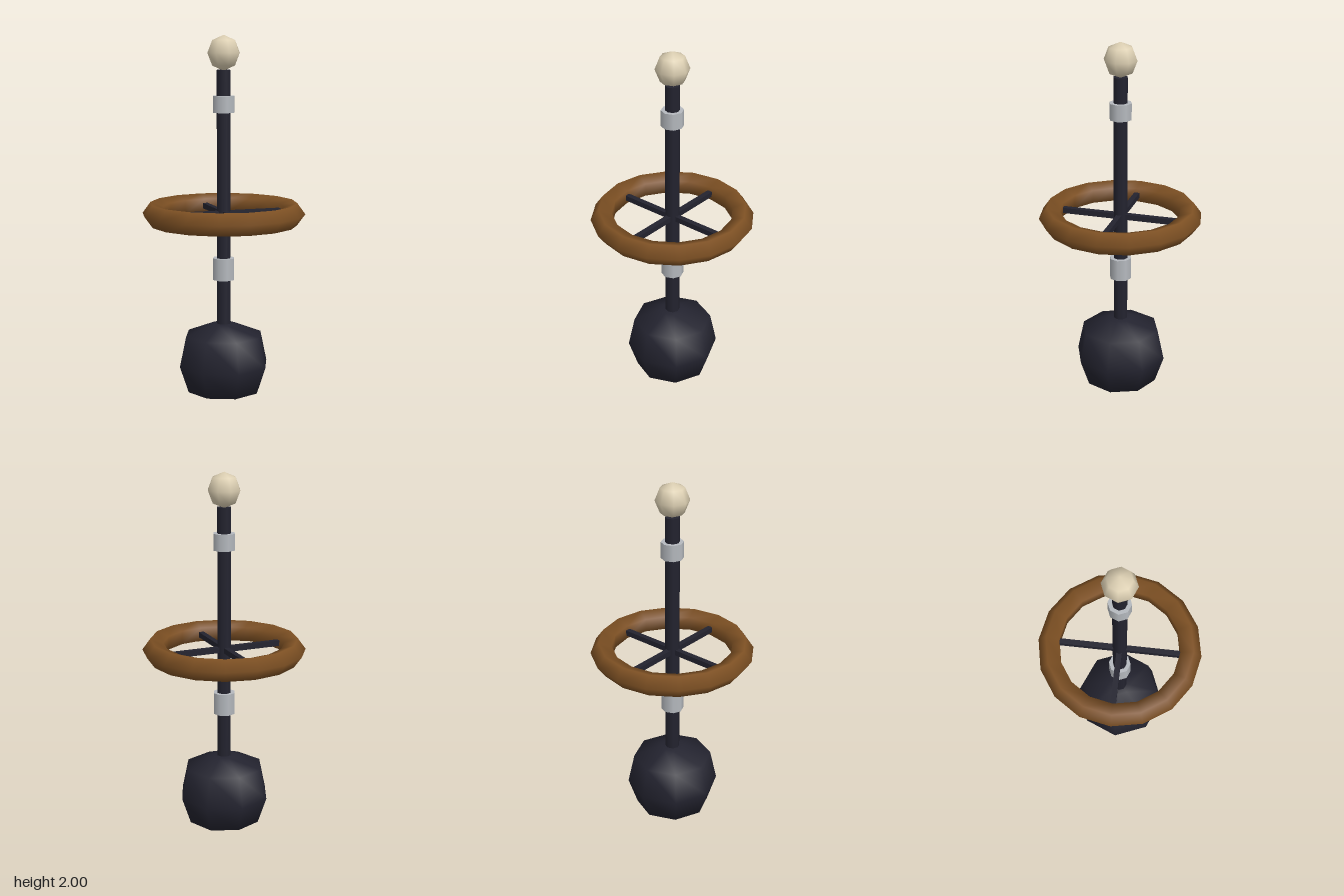
import * as THREE from 'three';

const mat = (name, color) => {
  const m = new THREE.MeshStandardMaterial({ color });
  m.name = name;
  return m;
};

export function createModel() {
  const group = new THREE.Group();
  const darkIron = mat('dark iron', 0x23232f);
  const wood = mat('brown wood', 0x7d5023);
  const steel = mat('light steel', 0xb5b9be);
  const ivory = mat('ivory', 0xdccfb2);

  const add = (name, geometry, material, y) => {
    const mesh = new THREE.Mesh(geometry, material);
    mesh.name = name;
    mesh.position.y = y;
    group.add(mesh);
    return mesh;
  };

  // Rounded eight-sided weight at the foot, with a small flat top
  const profile = [[0, 0], [0.203, 0.053], [0.253, 0.2], [0.217, 0.367], [0.065, 0.428], [0, 0.43]]
    .map(([x, y]) => new THREE.Vector2(x, y));
  add('baseWeight', new THREE.LatheGeometry(profile, 8), darkIron, 0);

  // Central post
  add('post', new THREE.CylinderGeometry(0.039, 0.039, 1.41, 8), darkIron, 1.11);

  // Steel collars
  for (const [name, y, h] of [['lowerCollar', 0.735, 0.12], ['upperCollar', 1.632, 0.09]]) {
    add(name, new THREE.CylinderGeometry(0.061, 0.061, h, 8), steel, y);
  }

  // Wheel: wooden rim and two crossed spoke bars
  const rim = new THREE.TorusGeometry(0.38, 0.0635, 5, 16);
  rim.rotateX(Math.PI / 2);
  add('wheelRim', rim, wood, 1.04);
  for (let i = 0; i < 2; i++) {
    const bar = add('spokeBar', new THREE.BoxGeometry(0.72, 0.03, 0.03), darkIron, 1.04);
    bar.rotation.y = i * Math.PI / 2;
  }

  // Ivory knob on top
  const knob = add('topKnob', new THREE.SphereGeometry(0.095, 8, 4), ivory, 1.905);
  knob.scale.set(0.96, 1, 0.96);

  return group;
}
